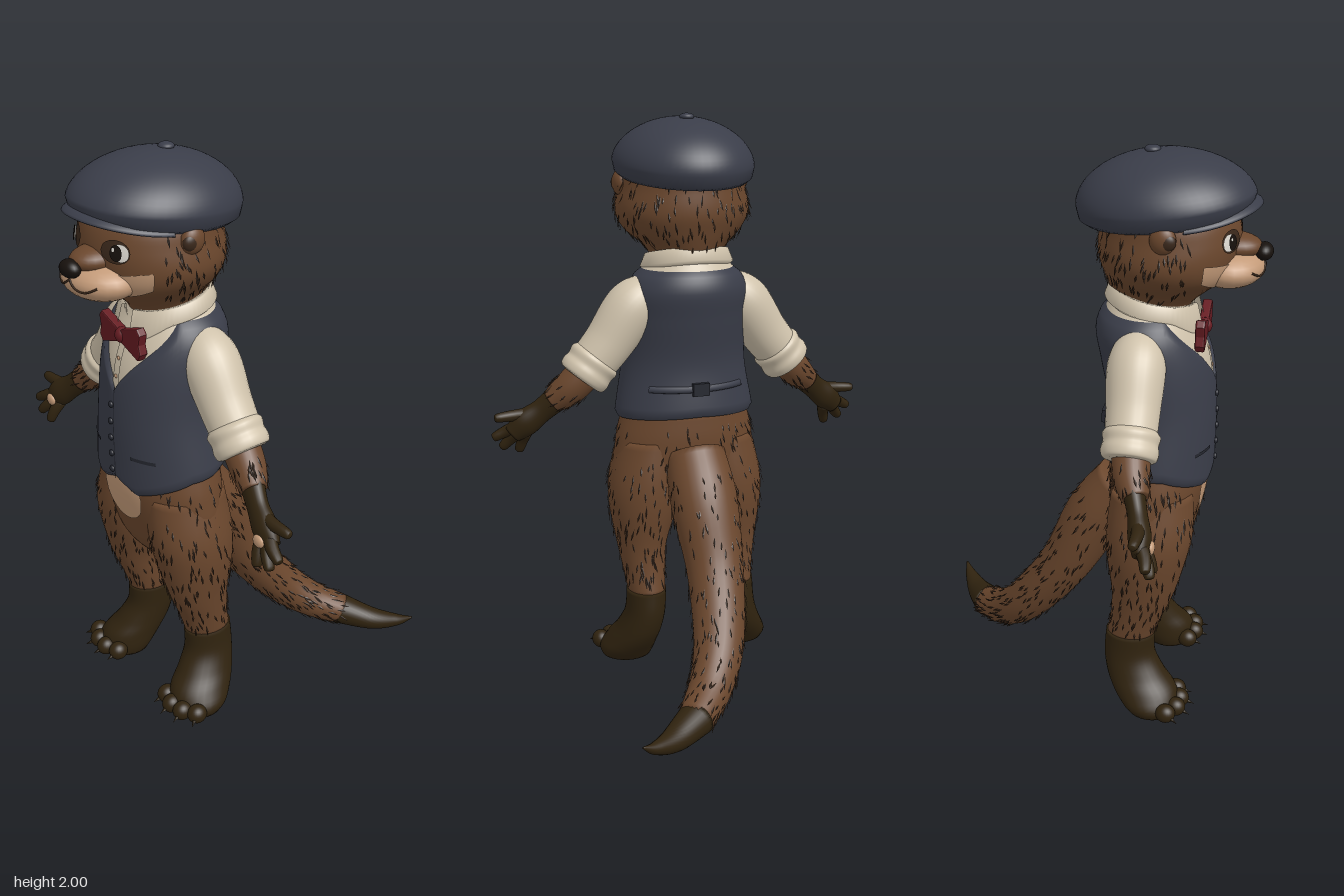
import * as THREE from 'three';
import { mergeVertices } from 'three/addons/utils/BufferGeometryUtils.js';

const mat = (name, color) => {
  const m = new THREE.MeshStandardMaterial({ color, side: THREE.DoubleSide });
  m.name = name;
  return m;
};
const lerp = THREE.MathUtils.lerp, TAU = Math.PI * 2;
const V = a => new THREE.Vector3(...a);

// Smooth interpolation of rows [key, ...values]
const sample = rows => k => {
  let i = 0;
  while (i < rows.length - 2 && k > rows[i + 1][0]) i++;
  const a = rows[i], b = rows[i + 1], h = b[0] - a[0];
  const t = THREE.MathUtils.clamp((k - a[0]) / h, 0, 1);
  const slope = (p, q, c) => (q[c] - p[c]) / (q[0] - p[0]);
  return a.slice(1).map((_, n) => {
    const c = n + 1;
    const m0 = slope(rows[Math.max(i - 1, 0)], b, c) * h;
    const m1 = slope(a, rows[Math.min(i + 2, rows.length - 1)], c) * h;
    const d = b[c] - a[c];
    return a[c] + t * (m0 + t * (3 * d - 2 * m0 - m1 + t * (m0 + m1 - 2 * d)));
  });
};

// Surface from a function of (u, v)
function grid(f, nu, nv) {
  const pos = [], idx = [];
  for (let j = 0; j <= nv; j++) for (let i = 0; i <= nu; i++) pos.push(...f(i / nu, j / nv));
  for (let j = 0; j < nv; j++) for (let i = 0; i < nu; i++) {
    const a = j * (nu + 1) + i, d = a + nu + 1;
    idx.push(a, a + 1, d + 1, a, d + 1, d);
  }
  let g = new THREE.BufferGeometry();
  g.setAttribute('position', new THREE.Float32BufferAttribute(pos, 3));
  g.setIndex(idx);
  g = mergeVertices(g, 1e-5);
  g.computeVertexNormals();
  return g;
}

// Elliptic body profile, rows [y, centreX, centreZ, radiusX, radiusZ]
const profile = rows => {
  const s = sample(rows);
  const P = (th, y, off = 0) => {
    const [cx, cz, rx, rz] = s(y);
    return [cx + (rx + off) * Math.sin(th), y, cz + (rz + off) * Math.cos(th)];
  };
  const y0 = rows[0][0], y1 = rows[rows.length - 1][0];
  P.surface = (u, v) => P(u * TAU, lerp(y0, y1, v));
  P.mid = v => { const [cx, cz] = s(lerp(y0, y1, v)); return [cx, lerp(y0, y1, v), cz]; };
  return P;
};

// Round limb along points [x, y, z, radius]
const limb = (pts, ref = [0, 0, 1], k = 1) => {
  const s = sample(pts.map((p, i) => [i, ...p])), n = pts.length - 1;
  const surface = (u, v) => {
    const c = s(v * n);
    const t = V(s(Math.min(v * n + 0.02, n))).sub(V(s(Math.max(v * n - 0.02, 0)))).normalize();
    const N = V(ref).addScaledVector(t, -V(ref).dot(t)).normalize();
    const B = new THREE.Vector3().crossVectors(t, N);
    return V(c).addScaledVector(N, Math.cos(u * TAU) * c[3] * k)
      .addScaledVector(B, Math.sin(u * TAU) * c[3]).toArray();
  };
  return { surface, mid: v => s(v * n).slice(0, 3) };
};

// Closed mesh of a profile or limb
const closed = (S, nu = 28, nv = 26) => grid((u, v) => {
  const t = THREE.MathUtils.clamp((v * nv - 1) / (nv - 2), 0, 1);
  return v === 0 || v === 1 ? S.mid(t) : S.surface(u, t);
}, nu, nv);

// Piece of cloth or marking lying on a profile
const wrap = (P, a0, a1, bottom, top, off, nu = 24, nv = 10, tuck = false) => grid((u, v) => {
  const th = lerp(a0, a1, u);
  return P(th, lerp(bottom(th), top(th), v), tuck && (v === 0 || v === 1) ? 0 : off);
}, nu, nv);
const spot = (P, th0, y0, dth, dy, off) => {
  const h = th => dy * Math.sqrt(Math.max(0, 1 - ((th - th0) / dth) ** 2));
  return wrap(P, th0 - dth, th0 + dth, th => y0 - h(th), th => y0 + h(th), off, 24, 8);
};

let seed = 7;
const rnd = () => (seed = (seed * 16807) % 2147483647) / 2147483647;

// Scattered fur tufts that lift slightly at the tip
function tufts(f, n, dir, v0 = 0.06, v1 = 0.94, u0 = 0, u1 = 1) {
  const pos = [];
  for (let i = 0; i < n; i++) {
    const u = lerp(u0, u1, rnd()), v = lerp(v0, v1, rnd());
    const p = V(f(u, v)), side = V(f(u + 0.01, v)).sub(p).normalize();
    const along = V(f(u, v + 0.01)).sub(p).normalize();
    const out = new THREE.Vector3().crossVectors(side, along).normalize();
    along.multiplyScalar(dir).addScaledVector(side, (rnd() - 0.5) * 0.5);
    const len = 0.025 + 0.025 * rnd(), w = 0.0045;
    const at = (l, s, o) => p.clone().addScaledVector(along, l * len).addScaledVector(side, s * w).addScaledVector(out, o).toArray();
    const a = at(0, 0, 0.001), b = at(0.5, 1, 0.003), c = at(1, 0, 0.009), d = at(0.5, -1, 0.003);
    pos.push(...a, ...b, ...c, ...a, ...c, ...d);
  }
  const g = new THREE.BufferGeometry();
  g.setAttribute('position', new THREE.Float32BufferAttribute(pos, 3));
  g.computeVertexNormals();
  return g;
}

export function createModel() {
  const root = new THREE.Group();
  root.name = 'otterInWaistcoat';
  const fur = mat('brown fur', 0x6b472d), streak = mat('dark fur strands', 0x3a281b), paw = mat('dark paws', 0x30230f);
  const tan = mat('tan fur', 0xc39a78), shirt = mat('cream shirt', 0xd0c3ac), navy = mat('navy cloth', 0x3a3d49);
  const trim = mat('dark trim', 0x24262e), red = mat('red bow', 0x661c22), white = mat('eye white', 0xdcd8d0), black = mat('black', 0x17110d);
  const add = (name, geo, m) => {
    const mesh = new THREE.Mesh(geo, m);
    mesh.name = name;
    root.add(mesh);
    return mesh;
  };
  const ball = (name, m, p, r) => add(name, new THREE.SphereGeometry(1, 24, 16).scale(...r).translate(...p), m);

  // Hips with belly patch
  const hips = profile([[0.55, 0, 0.24, 0.09, 0.07], [0.62, 0, 0.245, 0.19, 0.12], [0.72, 0, 0.245, 0.262, 0.15],
    [0.85, 0, 0.25, 0.258, 0.168], [0.95, 0, 0.25, 0.235, 0.165]]);
  add('hips', closed(hips, 40), fur);
  add('hipFur', tufts(hips.surface, 170, -1, 0.45, 0.92, 0.12, 0.88), streak);
  add('bellyPatch', spot(hips, 0, 0.84, 0.4, 0.105, 0.008), tan);

  // Shirt, waistcoat and collar
  const torso = profile([[0.84, 0, 0.255, 0.25, 0.175], [0.93, 0, 0.25, 0.248, 0.182], [1.13, 0, 0.258, 0.216, 0.172],
    [1.3, 0, 0.235, 0.212, 0.177], [1.4, 0, 0.21, 0.205, 0.168], [1.47, 0, 0.205, 0.165, 0.14], [1.52, 0, 0.21, 0.12, 0.12]]);
  const level = y => () => y;
  add('shirtBody', wrap(torso, -Math.PI, Math.PI, level(1.0), level(1.5), 0, 48, 16), shirt);
  add('shirtPlacket', wrap(torso, -0.07, 0.07, level(1.2), level(1.4), 0.004, 4, 8), shirt);
  const hem = th => {
    const a = Math.abs(th);
    return a < 0.37 ? 0.9 - 0.108 * a : a < 1.3 ? 0.86 + 0.075 * (a - 0.37) : 0.93 + 0.011 * (a - 1.3);
  };
  const neckline = th => 1.23 + 0.24 * Math.min(1, Math.abs(th) / 1.05) ** 0.88;
  add('waistcoat', wrap(torso, -Math.PI, Math.PI, hem, neckline, 0.012, 96, 28, true), navy);
  add('frontSeam', wrap(torso, 0.03, 0.045, level(0.9), level(1.24), 0.014, 2, 10), trim);
  for (let i = 0; i < 5; i++) ball('waistcoatButton', trim, torso(-0.03, 0.93 + i * 0.06, 0.014), [0.011, 0.011, 0.008]);
  for (let i = 0; i < 2; i++) ball('shirtButton', tan, torso(0, 1.27 + i * 0.06, 0.005), [0.007, 0.007, 0.004]);
  for (const s of [1, -1]) add('pocketWelt', wrap(torso, s * 0.55 - 0.2, s * 0.55 + 0.2, level(1.0), level(1.012), 0.015, 8, 2), trim);
  add('backBelt', wrap(torso, 2.35, 3.93, level(1.035), level(1.07), 0.018, 20, 4, true), navy);
  add('backBuckle', new THREE.BoxGeometry(0.06, 0.045, 0.018).translate(0, 1.053, 0.062), trim);
  add('collar', grid((u, v) => {
    const th = lerp(0.2, TAU - 0.2, u), c = Math.cos(th);
    const point = 0.045 * Math.max(0, 1 - Math.abs(Math.min(th, TAU - th) - 0.45) / 0.55);
    const r = [0.15, 0.166, 0.148, 0.132, 0.13][Math.round(v * 4)];
    const y = [1.465 - point, 1.48 - point, 1.525, 1.525, 1.47][Math.round(v * 4)];
    return [r * Math.sin(th), y - 0.03 * c, 0.212 + (r + 0.012 * c) * c];
  }, 56, 4), shirt);

  // Bow tie
  for (const s of [1, -1]) {
    const lobe = new THREE.Shape([[0, -0.016], [0.095, -0.05], [0.108, -0.03], [0.1, 0], [0.108, 0.035], [0.095, 0.05], [0, 0.016]]
      .map(([x, y]) => new THREE.Vector2(s * x, y)));
    add('bowLobe', new THREE.ExtrudeGeometry(lobe, { depth: 0.02, bevelSize: 0.004, bevelThickness: 0.006, bevelSegments: 2 })
      .translate(0, 1.407, 0.378), red);
  }
  ball('bowKnot', red, [0, 1.407, 0.392], [0.024, 0.027, 0.024]);

  // Head and face
  const head = profile([[1.45, 0, 0.205, 0.115, 0.125], [1.5, 0, 0.22, 0.12, 0.135], [1.55, 0, 0.24, 0.15, 0.172], [1.6, 0, 0.262, 0.207, 0.21],
    [1.66, 0, 0.264, 0.237, 0.228], [1.74, 0, 0.268, 0.228, 0.228], [1.82, 0, 0.26, 0.205, 0.205], [1.89, 0, 0.26, 0.12, 0.12]]);
  add('head', closed(head, 48, 36), fur);
  add('headFur', tufts(head.surface, 190, -1, 0.18, 0.8, 0.18, 0.82), streak);
  add('cheekPatch', wrap(head, -0.95, 0.95, th => 1.56 + 0.06 * th * th, th => 1.65 + 0.03 * Math.abs(th), 0.004), tan);
  const mc = [0, 1.625, 0.46], mr = [0.14, 0.066, 0.118];
  ball('muzzle', tan, mc, mr);
  ball('noseBridge', fur, [0, 1.692, 0.47], [0.07, 0.042, 0.095]);
  ball('nose', black, [0, 1.677, 0.57], [0.042, 0.029, 0.03]);
  const lip = [];
  for (let i = -10; i <= 10; i++) {
    const x = i * 0.01, y = 1.643 - 0.028 * Math.sin(Math.PI * Math.abs(i) / 11);
    lip.push(V([x, y, mc[2] + mr[2] * Math.sqrt(1 - (x / mr[0]) ** 2 - ((y - mc[1]) / mr[1]) ** 2)]));
  }
  add('mouth', new THREE.TubeGeometry(new THREE.CatmullRomCurve3(lip), 40, 0.0035, 6), streak);
  for (const s of [1, -1]) {
    add('eyePatch', spot(head, s * 0.46, 1.737, 0.22, 0.036, 0.004), streak);
    add('eyeWhite', spot(head, s * 0.54, 1.737, 0.13, 0.027, 0.008), white);
    add('iris', spot(head, s * 0.49, 1.737, 0.085, 0.025, 0.012), black);
    add('eyeGlint', spot(head, s * 0.49 - 0.03, 1.748, 0.02, 0.006, 0.015), white);
    add('brow', spot(head, s * 0.45, 1.815, 0.16, 0.013, 0.008), streak);
    ball('ear', fur, [s * 0.222, 1.765, 0.275], [0.028, 0.045, 0.042]);
    ball('innerEar', streak, [s * 0.232, 1.763, 0.288], [0.018, 0.028, 0.03]);
  }

  // Flat cap: crown, visor and button
  const rim = [[0.8, -0.03], [0.9, -0.05], [0.97, -0.035]];
  add('capCrown', grid((u, v) => {
    const j = Math.round(v * 19), th = u * TAU;
    const a = (j - 3) / 16;
    const [s, h] = j < 3 ? rim[j] : [Math.cos(a * Math.PI / 2), 0.158 * Math.sin(a * Math.PI / 2) ** 1.15];
    const z = 0.25 + 0.287 * s * Math.cos(th) - Math.max(0, h) * 0.25;
    return [0.246 * s * Math.sin(th), 1.832 + 0.12 * (z - 0.25) + h, z];
  }, 56, 19), navy);
  add('capVisor', grid((u, v) => {
    const th = lerp(-1.25, 1.25, u), a = -v * TAU, c = Math.cos(th);
    const w = 0.87 + 0.05 * c + Math.cos(a) * (0.08 + 0.075 * c * c);
    const y = 1.797 + 0.05 * c * c - 0.012 * Math.cos(a) + 0.011 * Math.sin(-a);
    return [0.24 * w * Math.sin(th), y, 0.25 + 0.287 * w * c];
  }, 40, 14), navy);
  ball('capButton', navy, [0, 1.987, 0.205], [0.026, 0.013, 0.026]);

  for (const s of [1, -1]) {
    const arm = (pts, ...rest) => limb(pts.map(([x, y, z, r]) => [s * x, y, z, r]), ...rest);
    // Sleeve with rolled cuff
    add('sleeve', closed(arm([[0.14, 1.395, 0.2, 0.07], [0.21, 1.335, 0.2, 0.095], [0.295, 1.215, 0.205, 0.088], [0.375, 1.12, 0.21, 0.082]])), shirt);
    add('rolledCuff', closed(arm([[0.333, 1.17, 0.21, 0.08], [0.345, 1.155, 0.21, 0.094], [0.362, 1.133, 0.21, 0.09],
      [0.378, 1.113, 0.21, 0.094], [0.392, 1.095, 0.21, 0.088], [0.396, 1.09, 0.21, 0.07]])), shirt);
    // Forearm
    const fore = arm([[0.36, 1.13, 0.21, 0.062], [0.43, 1.06, 0.225, 0.06], [0.49, 1.01, 0.248, 0.045]]);
    add('forearm', closed(fore), fur);
    add('forearmFur', tufts(fore.surface, 45, 1, 0.35, 0.85), streak);
    // Hand: palm, fingers, claws, pads
    add('hand', closed(arm([[0.46, 1.035, 0.236, 0.051], [0.525, 0.977, 0.262, 0.043], [0.585, 0.93, 0.28, 0.05], [0.63, 0.89, 0.29, 0.034]], [0, 0, 1], 0.75)), paw);
    const tips = [[0.685, 0.958, 0.275], [0.69, 0.878, 0.315], [0.66, 0.838, 0.325], [0.6, 0.822, 0.325]];
    const roots = [[0.555, 0.965, 0.27], [0.61, 0.92, 0.285], [0.605, 0.9, 0.285], [0.58, 0.9, 0.285]];
    tips.forEach((t, i) => {
      const b = roots[i], m = t.map((q, c) => (q + b[c]) / 2 + (c === 2 ? 0.006 : 0));
      const e = t.map((q, c) => q + (q - m[c]) * 0.15);
      add('finger', closed(arm([[...b, 0.024], [...m, 0.021], [...t, 0.016], [...e, 0.004]]), 12, 12), paw);
    });
    ball('palmPad', tan, [s * 0.598, 0.905, 0.318], [0.024, 0.022, 0.012]);

    // Leg
    const leg = profile([[0.27, 0.17, 0.188, 0.067, 0.084], [0.35, 0.172, 0.208, 0.076, 0.09], [0.45, 0.175, 0.23, 0.09, 0.108],
      [0.6, 0.163, 0.24, 0.126, 0.14], [0.7, 0.155, 0.247, 0.132, 0.15], [0.85, 0.13, 0.25, 0.12, 0.14]].map(([y, x, ...r]) => [y, s * x, ...r]));
    add('leg', closed(leg, 32), fur);
    add('legFur', tufts(leg.surface, 230, -1, 0.08, 0.9), streak);
    // Foot with toes and claws
    add('foot', closed(profile([[0, 0.225, 0.28, 0.092, 0.09], [0.03, 0.225, 0.272, 0.102, 0.105], [0.08, 0.21, 0.248, 0.093, 0.116],
      [0.13, 0.193, 0.216, 0.082, 0.106], [0.2, 0.177, 0.19, 0.073, 0.092], [0.285, 0.171, 0.19, 0.072, 0.088]]
      .map(([y, x, ...r]) => [y, s * x, ...r]))), paw);
    [[0.155, 0.36, -0.1], [0.208, 0.378, 0.1], [0.262, 0.372, 0.3], [0.308, 0.342, 0.6]].forEach(([x, z, a]) => {
      ball('toe', paw, [s * x, 0.034, z], [0.033, 0.034, 0.036]);
      add('toeClaw', new THREE.ConeGeometry(0.012, 0.045, 8).rotateX(1.85).rotateY(s * a)
        .translate(s * (x + 0.035 * Math.sin(a)), 0.024, z + 0.035 * Math.cos(a)), paw);
    });
  }

  // Tail with dark tip
  const tail = limb([[0, 0.8, 0.13, 0.1], [0, 0.65, 0.03, 0.11], [0, 0.43, -0.085, 0.093], [0.04, 0.23, -0.23, 0.081],
    [0.11, 0.12, -0.34, 0.069], [0.205, 0.062, -0.45, 0.056]], [1, 0, 0], 1.1);
  add('tail', closed(tail, 28, 40), fur);
  add('tailFur', tufts(tail.surface, 360, 1, 0.12, 0.98), streak);
  add('tailTip', closed(limb([[0.195, 0.066, -0.44, 0.058], [0.3, 0.045, -0.515, 0.041], [0.38, 0.058, -0.57, 0.022], [0.432, 0.085, -0.602, 0.003]], [1, 0, 0], 1.1)), paw);
  return root;
}
